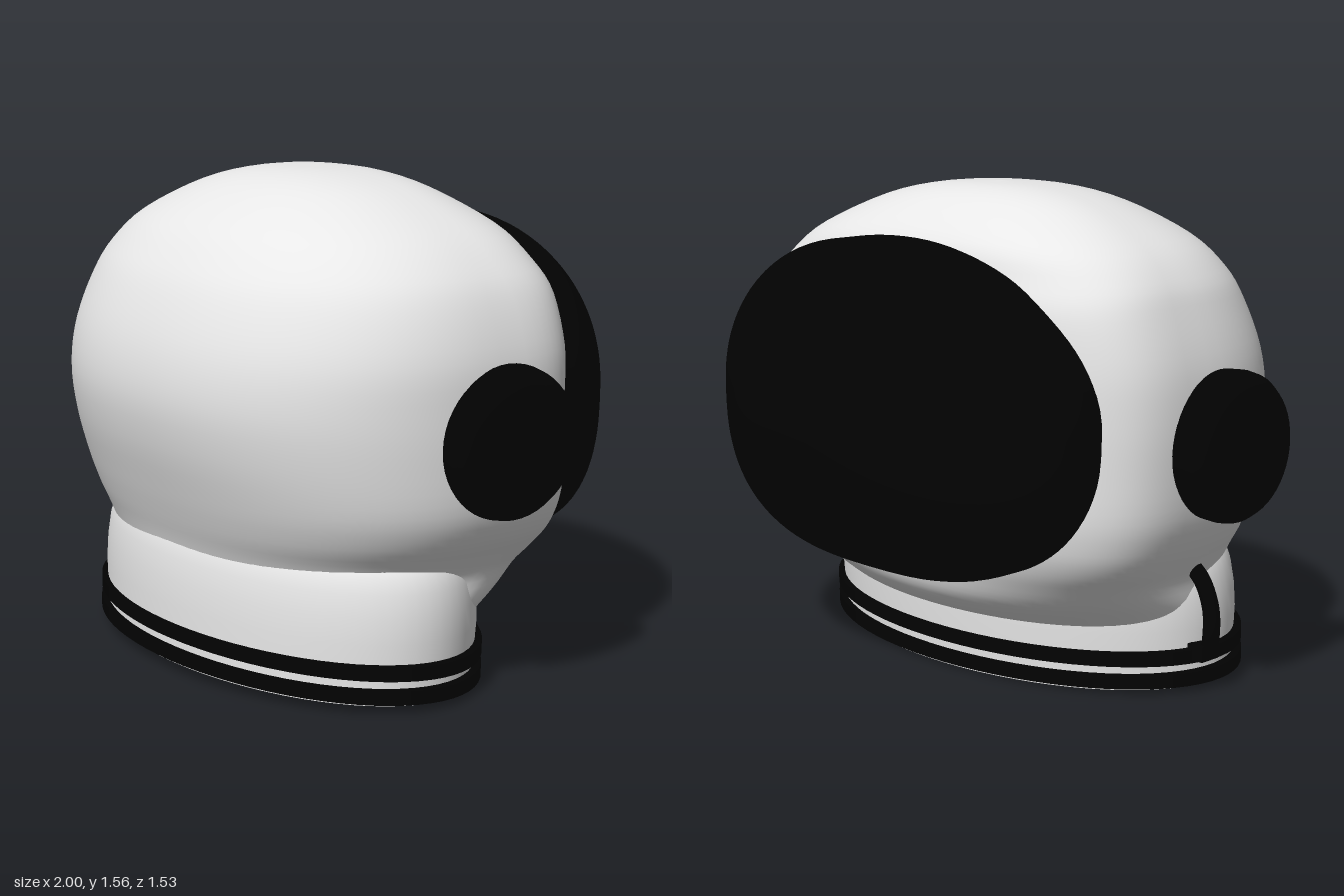
import * as THREE from 'three';

const white = new THREE.MeshStandardMaterial({ color: 0xe7e7e7, side: THREE.DoubleSide });
white.name = 'shell white';
const black = new THREE.MeshStandardMaterial({ color: 0x020202 });
black.name = 'gloss black';

// Surface from closed loops: fn(row, angle) gives a point
function loopSurface(rows, cols, fn) {
  const pos = [], index = [];
  for (let i = 0; i <= rows; i++)
    for (let j = 0; j < cols; j++) pos.push(...fn(i, (j / cols) * Math.PI * 2));
  for (let i = 0; i < rows; i++)
    for (let j = 0; j < cols; j++) {
      const a = i * cols + j, b = i * cols + ((j + 1) % cols);
      index.push(a, b, a + cols, b, b + cols, a + cols);
    }
  const g = new THREE.BufferGeometry();
  g.setAttribute('position', new THREE.Float32BufferAttribute(pos, 3));
  g.setIndex(index);
  g.computeVertexNormals();
  return g;
}

const power = (v, n) => Math.sign(v) * Math.abs(v) ** (2 / n);
const { lerp, smoothstep } = THREE.MathUtils;

function addMesh(parent, name, geometry, material) {
  const m = new THREE.Mesh(geometry, material);
  m.name = name;
  parent.add(m);
  return m;
}

// Shell cross-sections: y, left x, right x, front z, back z
const sections = [
  [1.56, -0.03, -0.03, 0.01, 0.01], [1.548, -0.25, 0.2, 0.19, -0.12],
  [1.5, -0.46, 0.43, 0.345, -0.235], [1.4, -0.67, 0.66, 0.515, -0.355],
  [1.3, -0.775, 0.79, 0.615, -0.39], [1.2, -0.825, 0.86, 0.682, -0.42],
  [1.05, -0.873, 0.91, 0.743, -0.43], [0.9, -0.89, 0.92, 0.765, -0.43],
  [0.75, -0.89, 0.92, 0.745, -0.43], [0.6, -0.88, 0.91, 0.7, -0.43],
  [0.5, -0.85, 0.87, 0.665, -0.42], [0.42, -0.81, 0.81, 0.635, -0.405],
  [0.36, -0.78, 0.775, 0.62, -0.39], [0.28, -0.77, 0.78, 0.625, -0.365],
  [0.22, -0.76, 0.78, 0.63, -0.31], [0.18, -0.75, 0.775, 0.63, -0.245],
];

function shellGeometry() {
  const curve = (a, b) => new THREE.CatmullRomCurve3(
    sections.map(s => new THREE.Vector3(s[a], s[0], s[b])), false, 'catmullrom');
  const xs = curve(1, 2), zs = curve(3, 4), rows = 60;
  return loopSurface(rows, 96, (i, a) => {
    const px = xs.getPoint(i / rows), pz = zs.getPoint(i / rows);
    const y = px.y, s = Math.sin(a);
    // Squarer behind the ears, easing to an oval at the crown and the neck
    const low = smoothstep(y, 0.18, 0.5), high = smoothstep(y, 1.2, 1.54);
    const n = 2 + 0.3 * low + (s < 0 ? 1.2 * low * (1 - high) : 0);
    const mid = lerp(0.195, lerp(0.04, 0.01, high), smoothstep(y, 0.18, 0.45));
    return [
      (px.x + px.z) / 2 + ((px.z - px.x) / 2) * power(Math.cos(a), n),
      y,
      mid + power(s, n) * (s > 0 ? pz.x - mid : mid - pz.z),
    ];
  });
}

// Domed visor, fuller at the lower corners, with a skirt sunk into the shell
function visorGeometry() {
  const rows = 24;
  return loopSurface(rows + 1, 96, (i, a) => {
    const t = (Math.min(i, rows) / rows) * Math.PI / 2;
    const c = Math.cos(a), s = Math.sin(a), r = Math.sin(t);
    const n = s > 0 ? 2.1 : 2.7;
    const depth = 0.295 + 0.135 * c * c + 0.03 * c;
    const skirt = i > rows ? 0.13 : 0;
    return [
      0.043 + 0.815 * r * power(c, n) + 0.07 * (1 - r),
      0.875 + 0.525 * r * power(s, n) + 0.05 * (1 - r),
      -0.77 + depth * (0.75 * (1 - Math.cos(t)) + 0.25 * r * r) + skirt,
    ];
  });
}

const lathe = (points, segments = 72) =>
  new THREE.LatheGeometry(points.map(p => new THREE.Vector2(...p)), segments);

export function createModel() {
  const model = new THREE.Group();
  model.name = 'spaceHelmet';

  addMesh(model, 'shell', shellGeometry(), white);
  addMesh(model, 'visor', visorGeometry(), black);

  // Neck ring: oval collar with two bands, tipped slightly up at the front
  const neck = new THREE.Group();
  neck.name = 'neckRing';
  neck.position.set(0.015, 0, 0.195);
  neck.rotation.x = -0.03;
  model.add(neck);
  const fit = m => m.scale.set(0.81, 1, 0.465);
  fit(addMesh(neck, 'collar', lathe([
    [1, 0.015], [1, 0.14], [1.005, 0.2], [1, 0.28], [0.985, 0.35], [0.96, 0.4], [0.93, 0.425], [0.88, 0.43],
  ]), white));
  fit(addMesh(neck, 'collarRim', lathe([[0.91, 0.015], [1, 0.015]]), white));
  fit(addMesh(neck, 'collarInside', lathe([[0.91, 0.75], [0.91, 0.015]]), white));
  for (const y of [0.025, 0.098]) {
    const h = 0.044, inner = 0.97, outer = 1.035;
    // Each band face is separate so its edges stay sharp
    const corners = [[inner, y], [outer, y], [outer, y + h], [inner, y + h]];
    for (let k = 0; k < 3; k++)
      fit(addMesh(neck, 'neckBand', lathe([corners[k], corners[k + 1]]), black));
  }

  // Ear pods: rounded discs whose axes point outward
  const pod = (name, x, z, depth, side, yaw) => {
    const p = addMesh(model, name, lathe([
      [0.23, -depth], [0.235, -0.075], [0.23, -0.045], [0.212, -0.02], [0.18, -0.006], [0.12, 0], [0, 0],
    ], 48), black);
    p.rotation.set(0, yaw, -side * Math.PI / 2, 'YXZ');
    p.position.set(x, 0.803, z);
  };
  pod('leftEarPod', 0.992, 0.018, 0.12, 1, -0.07);
  pod('rightEarPod', -1, 0.1, 0.15, -1, 0);

  // Hose from the shell down to a small fitting on the neck ring
  const path = new THREE.CatmullRomCurve3([
    [-0.78, 0.4, 0.1], [-0.82, 0.36, 0.1], [-0.845, 0.28, 0.11], [-0.85, 0.2, 0.11], [-0.83, 0.14, 0.12], [-0.77, 0.12, 0.13],
  ].map(p => new THREE.Vector3(...p)));
  addMesh(model, 'hose', new THREE.TubeGeometry(path, 32, 0.027, 12), black);
  addMesh(model, 'hoseFitting', new THREE.BoxGeometry(0.06, 0.05, 0.08), black).position.set(-0.81, 0.13, 0.12);

  return model;
}
